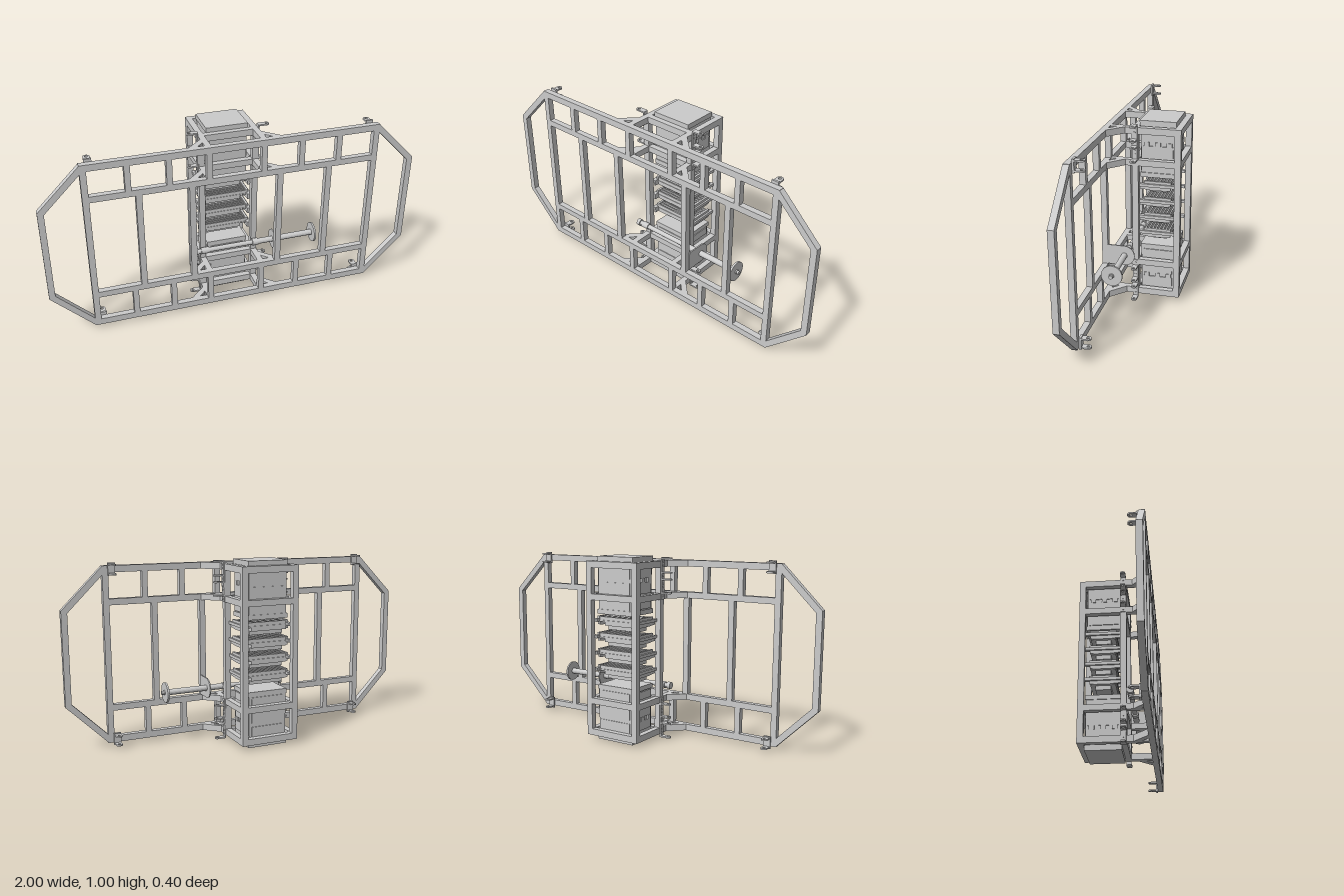
import * as THREE from 'three';

const mat = new THREE.MeshStandardMaterial({ color: 0xcccccc, flatShading: true });
const smooth = new THREE.MeshStandardMaterial({ color: 0xcccccc });

export function createModel() {
  const root = new THREE.Group();

  const add = (name, geo, parent = root, m = mat) => {
    const mesh = new THREE.Mesh(geo, m);
    mesh.name = name;
    parent.add(mesh);
    return mesh;
  };
  const group = (name) => {
    const g = new THREE.Group();
    g.name = name;
    root.add(g);
    return g;
  };
  // Box given by its limits on each axis
  const box = (name, x0, x1, y0, y1, z0, z1, parent) => {
    const mesh = add(name, new THREE.BoxGeometry(Math.abs(x1 - x0), y1 - y0, z1 - z0), parent);
    mesh.position.set((x0 + x1) / 2, (y0 + y1) / 2, (z0 + z1) / 2);
    return mesh;
  };
  // Cylinder along x
  const rod = (name, x0, x1, r, y, z, parent) => {
    const geo = new THREE.CylinderGeometry(r, r, x1 - x0, 32).rotateZ(Math.PI / 2);
    add(name, geo, parent, mat).position.set((x0 + x1) / 2, y, z);
  };
  const polygon = (pts) => new THREE.Shape(pts.map(([x, y]) => new THREE.Vector2(x, y)));
  const extrude = (shape, depth) =>
    new THREE.ExtrudeGeometry(shape, { depth, bevelEnabled: false, curveSegments: 12 });
  // Flat outline in x and z, given thickness upward from y
  const slab = (name, shape, y, h, parent) => {
    const geo = extrude(shape, h).rotateX(Math.PI / 2);
    add(name, geo, parent).position.y = y + h;
  };

  const levels = [[0.025, 0.06], [0.2, 0.233], [0.765, 0.798], [0.935, 0.97]];

  // Wide front frame
  const frame = group('frontFrame');
  for (const [y0, y1] of levels) box('frameRail', -0.78, 0.78, y0, y1, 0.168, 0.2, frame);
  for (const s of [-1, 1]) {
    box('framePost', s * 0.75, s * 0.782, 0.025, 0.97, 0.168, 0.2, frame);
    for (const x of [0.145, 0.35, 0.557]) {
      box('lowerStrut', s * x - 0.015, s * x + 0.015, 0.06, 0.2, 0.168, 0.2, frame);
      box('upperStrut', s * x - 0.015, s * x + 0.015, 0.798, 0.935, 0.168, 0.2, frame);
    }
    for (const x of [0.235, 0.507])
      box('middleStrut', s * x - 0.016, s * x + 0.016, 0.233, 0.765, 0.168, 0.2, frame);
    // Angled side bumper
    const bumper = polygon([[0.78, 0.97], [1, 0.75], [1, 0.245], [0.78, 0.025],
      [0.78, 0.07], [0.968, 0.258], [0.968, 0.737], [0.78, 0.925]].map(([x, y]) => [s * x, y]));
    add('sideBumper', extrude(bumper, 0.032), frame).position.z = 0.168;
  }

  // Rack cage behind the frame
  const rack = group('rackCage');
  for (const s of [-1, 1]) {
    for (const z of [-0.2, 0.023])
      box('rackPost', s * 0.13, s * 0.162, 0.025, 0.97, z, z + 0.033, rack);
    for (const [y0, y1] of levels) {
      box('rackSideRail', s * 0.13, s * 0.162, y0, y1, -0.168, 0.024, rack);
      box('frameLink', s * 0.13, s * 0.162, y0, y1, 0.055, 0.169, rack);
      const brace = polygon([[0.16, 0.088], [0.245, 0.17], [0.2, 0.17], [0.16, 0.13]]
        .map(([x, z]) => [s * x, z]));
      slab('diagonalBrace', brace, y0, y1 - y0, rack);
    }
  }
  for (const [y0, y1] of levels)
    for (const z of [-0.2, 0.023])
      box('rackCrossRail', -0.13, 0.13, y0, y1, z, z + 0.033, rack);

  // Lug: straight root, round end and a pin hole; points along +x
  const lugShape = (len, r) => {
    const sh = new THREE.Shape();
    sh.moveTo(0, -r);
    sh.lineTo(len - r, -r);
    sh.absarc(len - r, 0, r, -Math.PI / 2, Math.PI / 2, false);
    sh.lineTo(0, r);
    sh.closePath();
    const hole = new THREE.Path();
    hole.absarc(len - r, 0, r * 0.45, 0, Math.PI * 2, true);
    sh.holes.push(hole);
    return sh;
  };
  const lug = (x, y, z, len, r, turn, parent) => {
    const geo = extrude(lugShape(len, r), 0.008).rotateX(-Math.PI / 2).rotateY(turn);
    add('lug', geo, parent).position.set(x, y - 0.004, z);
  };

  // Hinge strips and lugs on the rack sides
  const hinges = group('rackHinges');
  for (const s of [-1, 1])
    for (const up of [false, true]) {
      const flip = (y) => (up ? y : 0.995 - y);
      const ys = [0.984, 0.908, 0.872, 0.8].map(flip);
      const a = flip(0.765), b = flip(0.988);
      box('hingeStrip', s * 0.161, s * 0.168, Math.min(a, b), Math.max(a, b), 0.026, 0.053, hinges);
      for (const y of ys) lug(s * 0.165, y, 0.04, 0.057, 0.015, s > 0 ? 0 : Math.PI, hinges);
      for (const y of [0.965, 0.945, 0.89, 0.85, 0.83, 0.78].map(flip))
        rod('hingeBolt', s * 0.168 - 0.003, s * 0.168 + 0.003, 0.005, y, 0.04, hinges);
    }

  // Corner brackets on the back of the frame
  const corners = group('cornerBrackets');
  for (const s of [-1, 1])
    for (const y of [0.045, 0.952]) {
      const x = s * 0.735;
      box('bracketPlate', x - 0.019, x + 0.019, y - 0.033, y + 0.033, 0.158, 0.169, corners);
      for (const d of [-0.024, 0.024]) lug(x, y + d, 0.165, 0.054, 0.017, Math.PI / 2, corners);
    }

  // Equipment cases at both ends of the rack
  for (const up of [false, true]) {
    const g = group(up ? 'upperCase' : 'lowerCase');
    const by = (name, x0, x1, y0, y1, z0, z1) =>
      up ? box(name, x0, x1, y0, y1, z0, z1, g) : box(name, x0, x1, 0.995 - y1, 0.995 - y0, z0, z1, g);
    by('caseBody', -0.108, 0.108, 0.692, 0.975, -0.162, 0.02);
    by('caseEnd', -0.113, 0.113, 0.968, 0.995, -0.166, 0.026);
    by('caseInnerLid', -0.113, 0.113, 0.69, 0.715, -0.166, 0.024);
    // Raised panels on the walls
    for (const [y0, y1] of [[0.72, 0.762], [0.8, 0.86], [0.882, 0.932]]) {
      for (const s of [-1, 1])
        by('sidePanel', s * 0.108, s * 0.113, y0, y1, -0.15, 0.008);
      by('rearPanel', -0.095, 0.095, y0, y1, -0.166, -0.161);
      by('frontPanel', -0.095, 0.095, y0, y1, 0.019, 0.024);
    }
    for (const z of [-0.13, -0.07, -0.01])
      for (const s of [-1, 1])
        by('sideLatch', s * 0.108, s * 0.116, 0.86, 0.882, z - 0.014, z + 0.014);
  }

  // Four slatted trays in the middle of the rack
  [0.675, 0.586, 0.497, 0.408].forEach((top) => {
    const g = group('tray');
    for (const s of [-1, 1]) {
      // Stepped side cheek
      const cheek = polygon([[0.022, -0.014], [0.022, -0.046], [0, -0.046], [-0.03, -0.05],
        [-0.115, -0.05], [-0.142, -0.046], [-0.142, -0.03], [-0.166, -0.03],
        [-0.166, -0.014], [-0.145, -0.014], [-0.145, 0], [0, 0], [0, -0.014]]
        .map(([z, y]) => [-z, y]));
      const m = add('trayCheek', extrude(cheek, 0.012).rotateY(Math.PI / 2), g);
      m.position.set(s * 0.124 - 0.006, top, 0);
      box('trayRunner', s * 0.118, s * 0.14, top - 0.03, top - 0.014, -0.168, 0.024, g);
    }
    box('trayFloor', -0.118, 0.118, top - 0.03, top - 0.022, -0.145, 0, g);
    for (let i = 0; i < 8; i++) {
      const z = -0.14 + i * 0.0185;
      box('traySlat', -0.12, 0.12, top - 0.022, top - 0.003, z, z + 0.008, g);
    }
    box('trayUnit', -0.12, 0.085, top - 0.05, top - 0.03, -0.14, -0.005, g);
    box('trayLowerUnit', -0.11, 0.082, top - 0.074, top - 0.05, -0.113, -0.031, g);
  });

  // Cross shaft with a spool on the model's left
  const spool = group('spoolShaft');
  const sy = 0.292, sz = 0.077;
  rod('shaft', -0.2, 0.5, 0.013, sy, sz, spool);
  rod('spoolTube', 0.16, 0.485, 0.016, sy, sz, spool);
  rod('motor', -0.165, -0.12, 0.018, sy, sz, spool);
  rod('motorCap', -0.2, -0.18, 0.019, sy, sz, spool);
  rod('shaftBearing', 0.13, 0.162, 0.02, sy, sz, spool);
  rod('endFlange', 0.484, 0.494, 0.055, sy, sz, spool);
  rod('endKnob', 0.494, 0.512, 0.01, sy, sz, spool);
  // Mounting plate, rounded around the shaft
  const plate = new THREE.Shape();
  plate.moveTo(-0.17, -0.055);
  plate.lineTo(-sz, -0.055);
  plate.absarc(-sz, 0, 0.055, -Math.PI / 2, Math.PI / 2, false);
  plate.lineTo(-0.17, 0.055);
  plate.closePath();
  add('spoolPlate', extrude(plate, 0.007).rotateY(Math.PI / 2), spool).position.set(0.248, sy, 0);
  return root;
}
